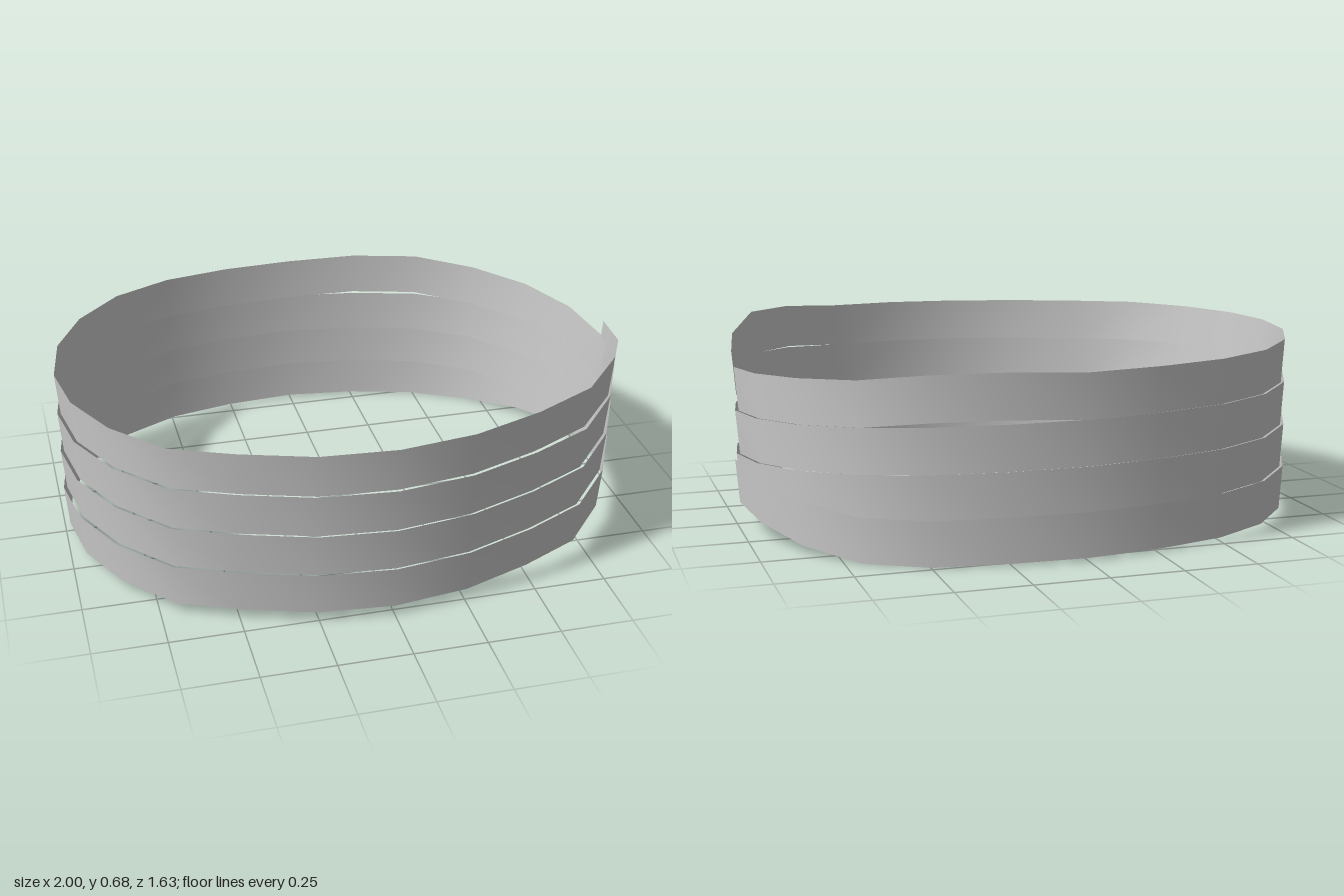
import * as THREE from 'three';

const TURNS = 4, STEPS = 24, HEIGHT = 0.152;

// Half-depth of the oval ring every 15 degrees, from the side to the middle
const BACK = [0, 0.23, 0.44, 0.615, 0.725, 0.78, 0.805];
const FRONT = [0, 0.215, 0.42, 0.6, 0.69, 0.77, 0.797];

// Lower edge of the band as [degrees, y]; 0 is the +x side, running towards the back
const RISE = [[0, 0.1], [45, 0.14], [60, 0.149], [90, 0.16], [180, 0.18], [270, 0.191],
  [300, 0.204], [330, 0.227], [360, 0.25]];
const START = [[0, 0.08], [15, 0.062], [30, 0.03], [45, 0.003], [60, 0.002], [75, 0.009],
  [90, 0.013], [180, 0.028]];
const END = [[270, 0.494], [300, 0.507], [315, 0.523], [330, 0.53], [345, 0.484], [360, 0.455]];

function sample(table, d) {
  let i = 1;
  while (i < table.length - 1 && d > table[i][0]) i++;
  const [d0, y0] = table[i - 1], [d1, y1] = table[i];
  return THREE.MathUtils.mapLinear(d, d0, d1, y0, y1);
}

function lowerEdge(turn, d) {
  if (turn === 0 && d <= 180) return sample(START, d);
  if (turn === TURNS - 1 && d >= 270) return sample(END, d);
  // the last turn lifts a little off the one below at the back
  const gap = turn === TURNS - 1 && d >= 60 && d <= 75 ? 0.014 : 0;
  return sample(RISE, d) + 0.15 * (turn - 1) + gap;
}

function ringPoint(step) {
  const q = step % 12;
  const depth = (step < 12 ? BACK : FRONT)[q <= 6 ? q : 12 - q];
  return [0.989 * Math.cos(step * Math.PI / 12), step < 12 ? -depth : depth];
}

export function createModel() {
  const group = new THREE.Group();
  group.name = 'coiledBand';

  const positions = [], index = [];
  const count = TURNS * STEPS;
  for (let i = 0; i <= count; i++) {
    const turn = Math.min(Math.floor(i / STEPS), TURNS - 1);
    const step = i - turn * STEPS;
    const [x, z] = ringPoint(step % STEPS);
    const y = lowerEdge(turn, step * 15);
    // both free ends lie just outside their neighbouring turn
    const ends = 0.006 * Math.max(0, 1 - Math.min(i, count - i) / 4);
    for (const top of [0, 1]) {
      const r = 1 + ends + (top ? 0.006 : -0.006);
      const h = y + top * HEIGHT;
      positions.push(x * r, h, z * r + 0.03 * (h - 0.33));
    }
    if (i < count) {
      const a = 2 * i;
      index.push(a, a + 2, a + 1, a + 1, a + 2, a + 3);
    }
  }
  const geometry = new THREE.BufferGeometry();
  geometry.setAttribute('position', new THREE.Float32BufferAttribute(positions, 3));
  geometry.setIndex(index);
  geometry.computeVertexNormals();

  const band = new THREE.Mesh(geometry,
    new THREE.MeshStandardMaterial({ color: 0xcccccc, side: THREE.DoubleSide }));
  band.name = 'spiralBand';
  group.add(band);
  return group;
}
